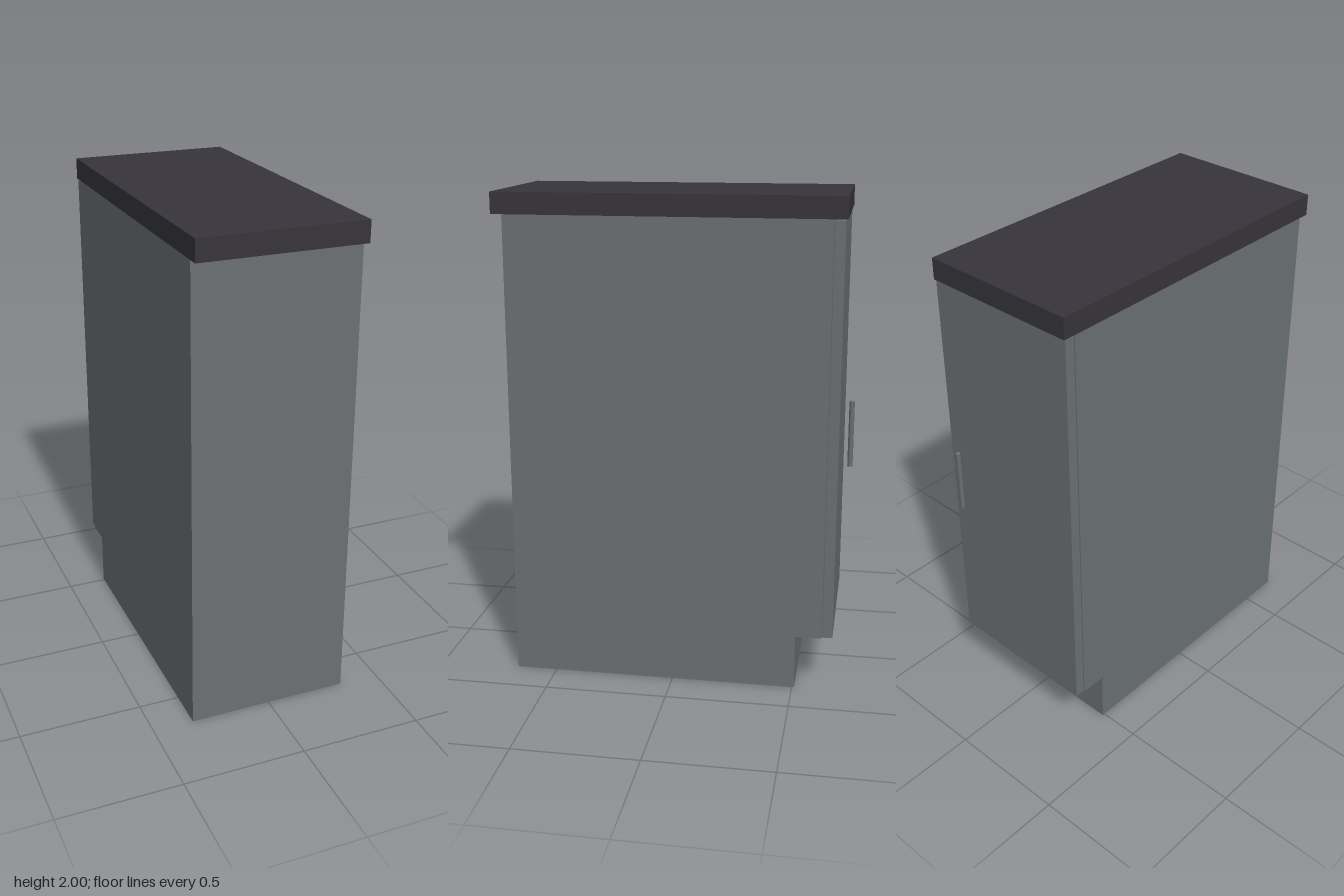
import * as THREE from 'three';

export function createModel() {
  const group = new THREE.Group();
  group.name = 'baseCabinet';

  const grey = new THREE.MeshStandardMaterial({ color: 0x6b7073 });
  grey.name = 'slate grey';
  const dark = new THREE.MeshStandardMaterial({ color: 0x37353b });
  dark.name = 'charcoal';

  const add = (name, geometry, material) => {
    const mesh = new THREE.Mesh(geometry, material);
    mesh.name = name;
    group.add(mesh);
    return mesh;
  };

  // Box given by its lower and upper limits
  const box = (name, [x0, y0, z0], [x1, y1, z1], material) =>
    add(name, new THREE.BoxGeometry(x1 - x0, y1 - y0, z1 - z0), material)
      .position.set((x0 + x1) / 2, (y0 + y1) / 2, (z0 + z1) / 2);

  const W = 0.333;

  // Carcass: side outline with a toe-kick notch, extruded across the width
  const outline = new THREE.Shape([
    [0.668, 0], [0.668, 1.914], [-0.617, 1.914],
    [-0.617, 0.226], [-0.509, 0.226], [-0.509, 0],
  ].map(([z, y]) => new THREE.Vector2(-z, y)));
  const carcass = new THREE.ExtrudeGeometry(outline, { depth: 2 * W, bevelEnabled: false });
  carcass.translate(0, 0, -W).rotateY(Math.PI / 2);
  add('carcass', carcass, grey);

  // Door, a hair smaller than the carcass
  box('door', [-W + 0.003, 0.23, -0.66], [W - 0.003, 1.909, -0.619], grey);

  // Worktop, overhanging on the +z side
  box('worktop', [-W, 1.914, -0.667], [W, 2, 0.713], dark);

  // Slim bar handle standing off the door
  const handle = new THREE.CylinderGeometry(0.0105, 0.0105, 0.265, 8);
  add('handle', handle, grey).position.set(0.244, 1.07, -0.703);

  return group;
}
